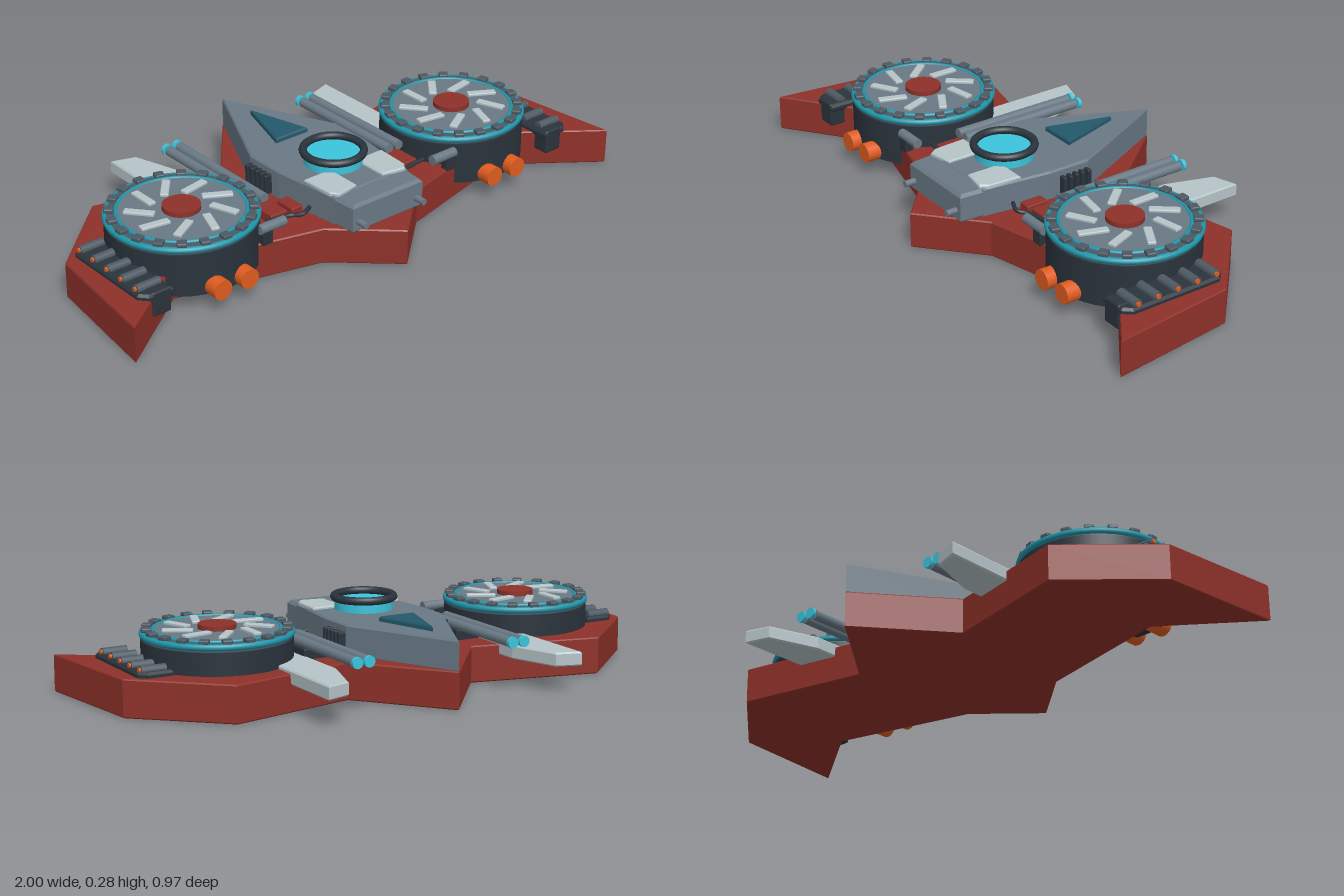
import * as THREE from 'three';
import { RoundedBoxGeometry } from 'three/addons/geometries/RoundedBoxGeometry.js';

const mat = (color) => new THREE.MeshStandardMaterial({ color });
const M = {
  red: mat(0x8e3129), grey: mat(0x6a7985), dark: mat(0x2a333c), steel: mat(0x4d5963),
  light: mat(0xb5c4c8), cyan: mat(0x3cc4dc), teal: mat(0x1f95a8), blue: mat(0x24596b), orange: mat(0xe05c20),
};

function add(parent, name, geometry, material, x = 0, y = 0, z = 0) {
  const mesh = new THREE.Mesh(geometry, material);
  mesh.name = name;
  mesh.position.set(x, y, z);
  parent.add(mesh);
  return mesh;
}

// Flat slab: an [x, z] outline raised from y0 to y1 with a small bevel
function slab(parent, name, outline, y0, y1, material, bevel = 0.005) {
  const shape = new THREE.Shape(outline.map(([x, z]) => new THREE.Vector2(x, -z)));
  const g = new THREE.ExtrudeGeometry(shape, {
    depth: y1 - y0 - 2 * bevel, bevelEnabled: true, bevelThickness: bevel,
    bevelSize: bevel, bevelOffset: -bevel, bevelSegments: 1,
  });
  g.rotateX(-Math.PI / 2);
  return add(parent, name, g, material, 0, y0 + bevel, 0);
}

const box = (parent, name, w, h, d, material, x, y, z, r = 0.004) =>
  add(parent, name, new RoundedBoxGeometry(w, h, d, 2, Math.min(r, h / 3)), material, x, y, z);

function rod(parent, name, r, length, axis, material, x, y, z) {
  const g = new THREE.CylinderGeometry(r, r, length, 16);
  if (axis === 'x') g.rotateZ(Math.PI / 2);
  if (axis === 'z') g.rotateX(Math.PI / 2);
  return add(parent, name, g, material, x, y, z);
}

function ring(parent, name, radius, tube, material, x, y, z) {
  const g = new THREE.TorusGeometry(radius, tube, 10, 48);
  g.rotateX(Math.PI / 2);
  return add(parent, name, g, material, x, y, z);
}

const mirrored = (half) => [...half, ...half.filter(([x]) => x > 0).reverse().map(([x, z]) => [-x, z])];

function disc(parent, name, r, y0, y1, material) {
  return add(parent, name, new THREE.CylinderGeometry(r, r, y1 - y0, 48), material, 0, (y0 + y1) / 2, 0);
}

// Round fan engine with a toothed rim, skewed blades and front nozzles
function fanEngine(s) {
  const g = new THREE.Group();
  g.name = 'fanEngine';
  g.position.set(s * 0.575, 0, 0.06);
  disc(g, 'engineDrum', 0.246, 0.055, 0.2, M.dark);
  disc(g, 'engineRim', 0.24, 0.2, 0.226, M.steel);
  ring(g, 'outerGlowRing', 0.24, 0.011, M.teal, 0, 0.216, 0);
  ring(g, 'innerGlowRing', 0.207, 0.007, M.teal, 0, 0.226, 0);
  disc(g, 'fanPlate', 0.203, 0.21, 0.229, M.grey);
  disc(g, 'fanHub', 0.062, 0.225, 0.245, M.red);
  for (let i = 0; i < 20; i++) {
    const a = (i / 20) * Math.PI * 2;
    const tooth = box(g, 'rimTooth', 0.032, 0.014, 0.032, M.steel, 0.228 * Math.sin(a), 0.232, 0.228 * Math.cos(a));
    tooth.rotation.y = a;
  }
  for (let i = 0; i < 9; i++) {
    const a = (i / 9) * Math.PI * 2 + 2.9;
    const blade = box(g, 'fanBlade', 0.028, 0.012, 0.1, M.light, 0.135 * Math.sin(a), 0.233, 0.135 * Math.cos(a));
    blade.rotation.y = a - 0.45;
  }
  for (const x of [-0.052, 0.052]) rod(g, 'nozzle', 0.034, 0.09, 'z', M.orange, x, 0.08, 0.235);
  return g;
}

// Everything carried on one wing
function wingGear(s) {
  const g = new THREE.Group();
  g.name = s > 0 ? 'leftWingGear' : 'rightWingGear';
  g.add(fanEngine(s));

  // Rear stabiliser
  const fin = [[0.47, -0.487], [0.385, -0.46], [0.33, -0.29], [0.33, -0.02], [0.47, -0.02]];
  slab(g, 'stabiliser', fin.map(([x, z]) => [s * x, z]), 0.09, 0.137, M.light);

  // Cooling pod with five fins
  slab(g, 'coolingPod', [[0.79, -0.075], [0.88, -0.075], [0.905, -0.05], [0.905, 0.28], [0.88, 0.308], [0.79, 0.308]]
    .map(([x, z]) => [s * x, z]), 0.115, 0.143, M.dark, 0.008);
  box(g, 'podFront', 0.07, 0.085, 0.08, M.dark, s * 0.833, 0.103, 0.268, 0.008);
  for (let i = 0; i < 5; i++) {
    const z = -0.045 + i * 0.075;
    rod(g, 'coolingFin', 0.016, 0.085, 'x', M.steel, s * 0.85, 0.145, z);
    rod(g, 'finTip', 0.008, 0.008, 'x', M.orange, s * 0.895, 0.148, z);
  }

  // Twin rear-facing barrels
  for (const x of [0.268, 0.311]) {
    rod(g, 'barrel', 0.017, 0.46, 'z', M.grey, s * x, 0.17, -0.14);
    rod(g, 'barrelTip', 0.019, 0.012, 'z', M.cyan, s * x, 0.17, -0.383);
  }
  box(g, 'barrelMount', 0.1, 0.04, 0.14, M.dark, s * 0.29, 0.14, -0.02);
  box(g, 'redBlock', 0.066, 0.035, 0.115, M.red, s * 0.278, 0.139, 0.122);
  box(g, 'sideBlock', 0.045, 0.03, 0.08, M.red, s * 0.203, 0.137, 0.14);
  rod(g, 'stubPipe', 0.017, 0.1, 'x', M.grey, s * 0.365, 0.175, 0.25);
  box(g, 'stubSupport', 0.04, 0.05, 0.03, M.dark, s * 0.39, 0.145, 0.25);

  // Hose joining the hull and the engine
  const hose = new THREE.CatmullRomCurve3([[0.17, 0.15, 0.2], [0.215, 0.145, 0.215], [0.24, 0.14, 0.19], [0.34, 0.145, 0.18]]
    .map(([x, y, z]) => new THREE.Vector3(s * x, y, z)));
  add(g, 'hose', new THREE.TubeGeometry(hose, 16, 0.007, 8), M.dark);

  // Ribbed vent on the hull side
  for (let i = 0; i < 5; i++) box(g, 'ventRib', 0.04, 0.07, 0.015, M.dark, s * 0.19, 0.165, -0.08 + i * 0.024);

  // Nose plate and forward rod
  const plate = [[0.055, 0.185], [0.085, 0.165], [0.165, 0.165], [0.158, 0.285], [0.14, 0.31], [0.055, 0.295]];
  slab(g, 'nosePlate', plate.map(([x, z]) => [s * x, z]), 0.215, 0.234, M.light, 0.004);
  rod(g, 'noseRod', 0.011, 0.12, 'z', M.grey, s * 0.122, 0.16, 0.365);
  return g;
}

export function createModel() {
  const model = new THREE.Group();
  model.name = 'hovercraft';

  // Swept wing base
  slab(model, 'wingBase', mirrored([[0, -0.484], [0.235, -0.19], [0.68, -0.29], [0.95, -0.04], [1, 0.4],
    [0.7, 0.18], [0.2, 0.305], [0, 0.484]]), 0, 0.125, M.red, 0.004);

  // Pointed central hull and nose block
  slab(model, 'hull', mirrored([[0, -0.482], [0.185, -0.09], [0.185, 0.06], [0.155, 0.305]]), 0.12, 0.225, M.grey, 0.006);
  slab(model, 'noseBlock', mirrored([[0.155, 0.29], [0.147, 0.387]]), 0.12, 0.222, M.grey, 0.01);
  slab(model, 'rearWindow', mirrored([[0, -0.325], [0.067, -0.1]]), 0.215, 0.242, M.blue, 0.005);

  // Round cockpit
  const cockpit = new THREE.Group();
  cockpit.name = 'cockpit';
  cockpit.position.z = 0.115;
  disc(cockpit, 'cockpitBase', 0.098, 0.22, 0.256, M.cyan);
  ring(cockpit, 'cockpitRing', 0.1, 0.0135, M.dark, 0, 0.267, 0);
  model.add(cockpit);

  for (const s of [1, -1]) model.add(wingGear(s));
  return model;
}
